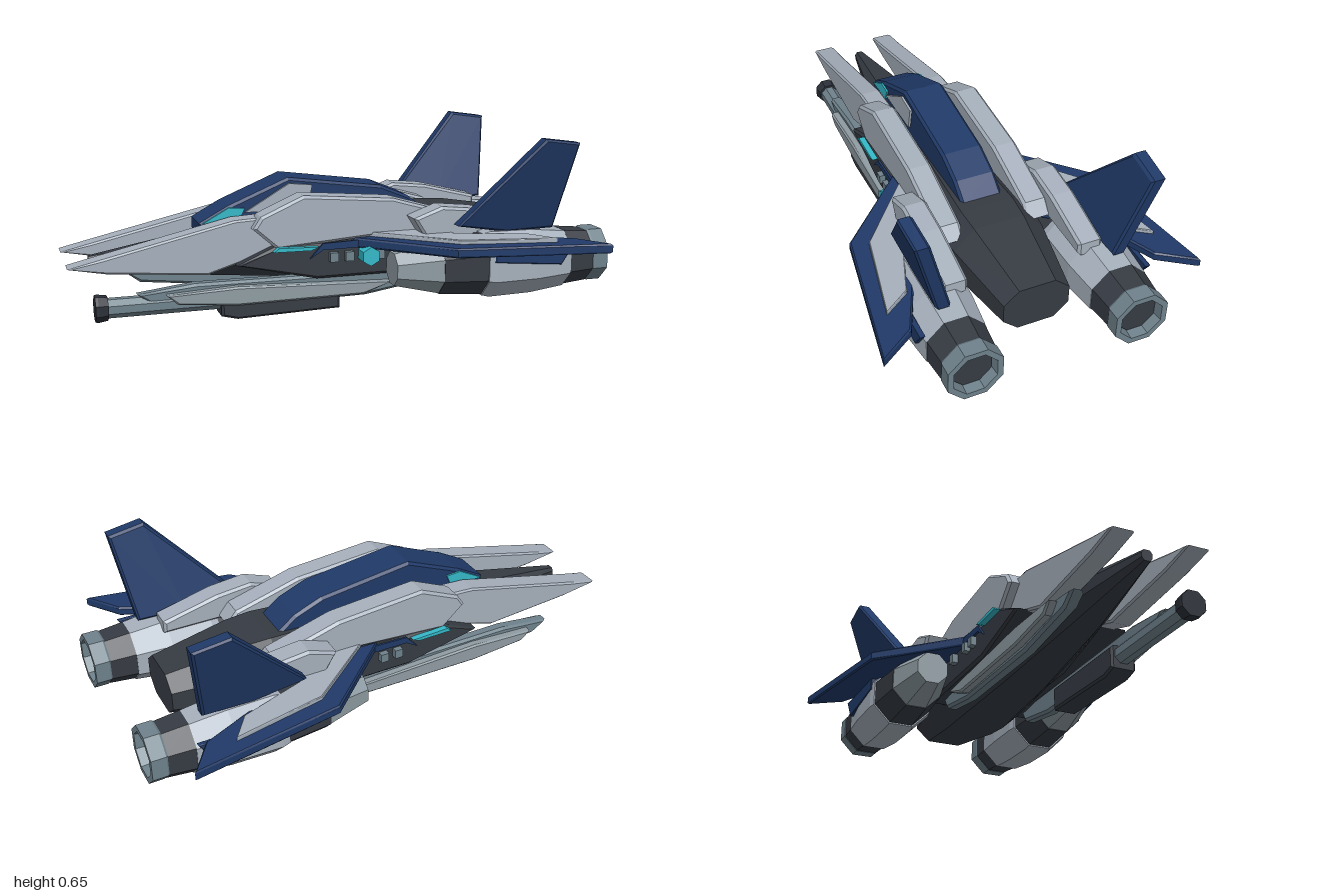
import * as THREE from 'three';

const mat = (name, color) => {
  const m = new THREE.MeshStandardMaterial({ color, flatShading: true });
  m.name = name;
  return m;
};

export function createModel() {
  const ship = new THREE.Group();
  ship.name = 'starfighter';
  const light = mat('light grey', 0xa6b0bc);
  const steel = mat('steel', 0x8f9ca3);
  const slate = mat('slate', 0x6f828c);
  const dark = mat('dark grey', 0x363b43);
  const black = mat('charcoal', 0x2a2f38);
  const navy = mat('navy', 0x203a68);
  const cyan = mat('cyan', 0x35b8c8);

  const add = (name, geo, m) => {
    const mesh = new THREE.Mesh(geo, m);
    mesh.name = name;
    ship.add(mesh);
    return mesh;
  };
  const extrude = (pts, depth, bevel) => {
    const shape = new THREE.Shape(pts.map(([a, b]) => new THREE.Vector2(a, b)));
    const geo = new THREE.ExtrudeGeometry(shape, {
      depth: depth - 2 * bevel, bevelEnabled: bevel > 0, bevelThickness: bevel,
      bevelSize: bevel, bevelOffset: -bevel, bevelSegments: 1,
    });
    return geo.translate(0, 0, bevel);
  };
  // Upright plate: side profile in x,y spanning z0..z1, mirrored by s
  const side = (name, pts, z0, z1, m, s = 1, bevel = 0.01) =>
    add(name, extrude(pts, z1 - z0, bevel).translate(0, 0, s > 0 ? z0 : -z1), m);
  // Flat plate: plan outline in x,z with its top at y
  const flat = (name, pts, y, thick, m, s, bevel = 0.006) =>
    add(name, extrude(pts.map(([x, z]) => [x, z * s]), thick, bevel).rotateX(Math.PI / 2).translate(0, y, 0), m);
  const box = (name, x0, x1, y0, y1, z0, z1, m, s = 1) =>
    add(name, new THREE.BoxGeometry(x1 - x0, y1 - y0, z1 - z0)
      .translate((x0 + x1) / 2, (y0 + y1) / 2, s * (z0 + z1) / 2), m);

  // Octagonal loft along x; each section is [x, halfWidth, yMin, yMax]
  const loft = (name, sections, m, cz = 0, flatY = 0.42, flatZ = 0.55) => {
    const unit = [[1, -flatZ], [1, flatZ], [flatY, 1], [-flatY, 1],
      [-1, flatZ], [-1, -flatZ], [-flatY, -1], [flatY, -1]];
    const pos = [], idx = [];
    for (const [x, w, lo, hi] of sections)
      for (const [u, v] of unit) pos.push(x, (lo + hi) / 2 + u * (hi - lo) / 2, cz + v * w);
    const last = (sections.length - 1) * 8;
    for (let i = 0; i < last; i += 8)
      for (let j = 0; j < 8; j++) {
        const a = i + j, b = i + (j + 1) % 8;
        idx.push(a, b, a + 8, b, b + 8, a + 8);
      }
    for (let k = 1; k < 7; k++) idx.push(0, k + 1, k, last, last + k, last + k + 1);
    const geo = new THREE.BufferGeometry();
    geo.setAttribute('position', new THREE.Float32BufferAttribute(pos, 3));
    geo.setIndex(idx);
    const out = geo.toNonIndexed();
    out.computeVertexNormals();
    return add(name, out, m);
  };
  // Regular octagonal tube, sections are [x, radius]
  const tube = (name, sections, m, cy, cz) =>
    loft(name, sections.map(([x, r]) => [x, r, cy - r, cy + r]), m, cz, 0.414, 0.414);

  // Central hull
  loft('hull', [[-0.91, 0.02, 0.185, 0.225], [-0.5, 0.09, 0.135, 0.29], [0, 0.15, 0.095, 0.33],
    [0.42, 0.185, 0.08, 0.345], [0.52, 0.175, 0.085, 0.34], [0.82, 0.125, 0.125, 0.295]], dark);

  // Dorsal canopy with its side glass and sensor panel
  side('canopy', [[-0.51, 0.26], [-0.51, 0.335], [-0.4, 0.395], [-0.17, 0.49], [0.2, 0.44],
    [0.31, 0.395], [0.38, 0.34], [0.38, 0.26]], -0.08, 0.08, navy);
  for (const s of [1, -1])
    side('canopyGlass', [[-0.5, 0.335], [-0.4, 0.39], [-0.34, 0.385], [-0.36, 0.34]], 0.08, 0.087, cyan, s, 0);
  side('sensorPanel', [[-0.34, 0.37], [-0.17, 0.47], [-0.08, 0.46], [-0.1, 0.37]], 0.083, 0.092, light, 1, 0);

  for (const s of [1, -1]) {
    // Nose and shoulder armour
    side('noseArmour', [[-1, 0.222], [-0.88, 0.25], [-0.4, 0.36], [-0.2, 0.37], [0, 0.3],
      [-0.27, 0.235], [-0.5, 0.165], [-0.86, 0.195]], 0.095, 0.18, light, s, 0.007);
    side('shoulderArmour', [[-0.34, 0.33], [-0.31, 0.375], [-0.15, 0.445], [0.2, 0.415], [0.32, 0.38],
      [0.46, 0.34], [0.5, 0.29], [0.1, 0.275], [-0.25, 0.25]], 0.125, 0.22, light, s);
    side('engineCowl', [[0.25, 0.35], [0.36, 0.39], [0.5, 0.375], [0.72, 0.32], [0.72, 0.27],
      [0.3, 0.27]], 0.212, 0.305, light, s);

    // Dark flank with lights and small fittings
    side('flank', [[-0.4, 0.2], [-0.26, 0.26], [0.4, 0.27], [0.4, 0.13], [-0.1, 0.13]], 0.11, 0.222, dark, s);
    side('lightStrip', [[-0.27, 0.247], [-0.25, 0.262], [-0.1, 0.256], [-0.13, 0.245]], 0.222, 0.245, cyan, s, 0);
    side('flankTrim', [[-0.13, 0.21], [-0.08, 0.265], [0.16, 0.272], [0.1, 0.242], [-0.08, 0.24]], 0.222, 0.23, navy, s, 0);
    for (const x of [-0.04, 0.02, 0.14]) box('fitting', x - 0.016, x + 0.016, 0.195, 0.23, 0.22, 0.245, slate, s);

    // Lower plates
    side('lowerPlate', [[-0.76, 0.115], [-0.55, 0.14], [0.2, 0.135], [0.33, 0.12], [0.3, 0.075],
      [0.1, 0.045], [-0.4, 0.037], [-0.7, 0.07]], 0.145, 0.195, slate, s);
    side('lowerSkirt', [[-0.66, 0.112], [-0.4, 0.125], [0.2, 0.1], [0.08, 0.058], [-0.4, 0.055],
      [-0.62, 0.075]], 0.19, 0.228, steel, s, 0.007);

    // Wing with a raised panel and an underside vane
    flat('wing', [[0.04, 0.215], [0.34, 0.5], [0.91, 0.592], [0.82, 0.46], [0.6, 0.36], [0.45, 0.2]], 0.276, 0.036, navy, s);
    flat('wingPanel', [[0.09, 0.2], [0.38, 0.44], [0.73, 0.51], [0.66, 0.41], [0.4, 0.32], [0.4, 0.2]], 0.292, 0.018, light, s, 0.003);
    side('underVane', [[0.52, 0.245], [0.52, 0.195], [0.79, 0.17], [0.84, 0.245]], 0.418, 0.437, navy, s, 0.003);

    // Canted tail fin
    const fin = side('tailFin', [[0.4, 0.325], [0.7, 0.648], [0.84, 0.628], [0.79, 0.295], [0.6, 0.29]],
      0.305, 0.36, navy, s, 0.008);
    const p = fin.geometry.attributes.position;
    for (let i = 0; i < p.count; i++) p.setZ(i, p.getZ(i) + s * 0.285 * (p.getY(i) - 0.3));
    fin.geometry.computeVertexNormals();

    // Engine: intake, collar, body, ring, hollow nozzle
    const cz = s * 0.31, cy = 0.172;
    tube('engineIntake', [[0.16, 0.06], [0.33, 0.098]], steel, cy, cz);
    tube('engineCollar', [[0.33, 0.1], [0.5, 0.113]], dark, cy, cz);
    tube('engineBody', [[0.5, 0.118], [0.53, 0.125], [0.7, 0.122], [0.84, 0.107]], light, cy, cz);
    tube('engineRing', [[0.84, 0.105], [0.94, 0.096]], dark, cy + 0.003, cz);
    tube('nozzle', [[0.93, 0.09], [0.945, 0.099], [1, 0.099], [1, 0.078], [0.96, 0.074]], slate, cy + 0.005, cz);
    tube('exhaust', [[0.95, 0.072], [0.965, 0.072]], dark, cy + 0.005, cz);
  }

  // Hexagonal lamp on the left flank
  add('hexLamp', new THREE.CylinderGeometry(0.036, 0.036, 0.06, 6).rotateX(Math.PI / 2)
    .translate(0.09, 0.215, 0.252), cyan);

  // Slung cannon on the left side
  tube('cannonBarrel', [[-0.87, 0.034], [-0.42, 0.034]], slate, 0.07, 0.167);
  tube('cannonMuzzle', [[-0.91, 0.045], [-0.9, 0.047], [-0.865, 0.042]], black, 0.071, 0.167);
  side('cannonBody', [[-0.46, 0.015], [-0.46, 0.1], [-0.01, 0.1], [-0.01, 0.01], [-0.4, 0]], 0.118, 0.216, dark, 1, 0.008);

  return ship;
}
